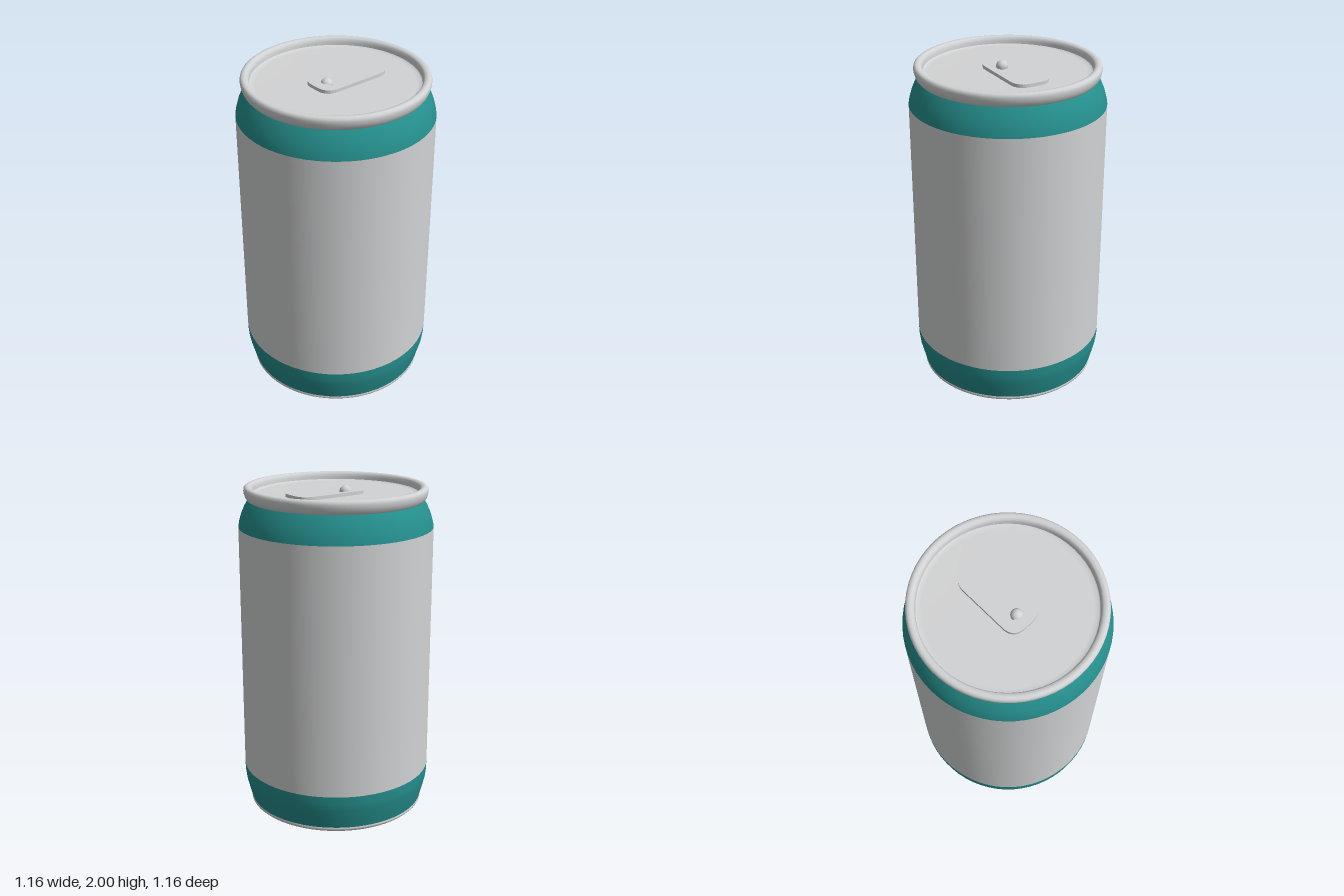
import * as THREE from 'three';

const SEGMENTS = 64;
const aluminium = new THREE.MeshStandardMaterial({ name: 'aluminium', color: 0xd2d3d4 });
const teal = new THREE.MeshStandardMaterial({ name: 'teal', color: 0x25908e });

// Turned part from [radius, height] pairs, listed bottom to top on the outside
function turned(name, material, profile) {
  const points = profile.map(([r, y]) => new THREE.Vector2(r, y));
  const mesh = new THREE.Mesh(new THREE.LatheGeometry(points, SEGMENTS), material);
  mesh.name = name;
  return mesh;
}

// Rounded rectangle between z0 and z1, with separate half-widths at each end
function roundedOutline(target, z0, z1, w0, w1, r) {
  target.moveTo(-w0 + r, -z0);
  target.lineTo(w0 - r, -z0);
  target.quadraticCurveTo(w0, -z0, w0, -z0 - r);
  target.lineTo(w1, -z1 + r);
  target.quadraticCurveTo(w1, -z1, w1 - r, -z1);
  target.lineTo(-w1 + r, -z1);
  target.quadraticCurveTo(-w1, -z1, -w1, -z1 + r);
  target.lineTo(-w0, -z0 - r);
  target.quadraticCurveTo(-w0, -z0, -w0 + r, -z0);
  return target;
}

function createPullTab() {
  const shape = roundedOutline(new THREE.Shape(), -0.312, 0.157, 0.116, 0.11, 0.085);
  shape.holes.push(
    roundedOutline(new THREE.Path(), -0.262, -0.095, 0.056, 0.054, 0.05),
    roundedOutline(new THREE.Path(), -0.03, 0.083, 0.077, 0.077, 0.05),
  );
  const geometry = new THREE.ExtrudeGeometry(shape, { depth: 0.02, bevelEnabled: false, curveSegments: 8 });
  geometry.rotateX(-Math.PI / 2);
  const tab = new THREE.Mesh(geometry, aluminium);
  tab.name = 'pullTab';
  tab.position.y = 1.948;
  return tab;
}

export function createModel() {
  const can = new THREE.Group();
  can.name = 'drinkCan';

  // Domed underside and standing ring
  can.add(turned('baseDome', teal, [[0, 0.05], [0.2, 0.044], [0.38, 0.027], [0.5, 0.006]]));
  can.add(turned('baseRing', aluminium, [
    [0.495, 0.012], [0.502, 0.004], [0.515, 0], [0.53, 0.002], [0.541, 0.012], [0.543, 0.022], [0.54, 0.03],
  ]));

  // Side wall in three colour bands
  can.add(turned('lowerBand', teal, [[0.54, 0.028], [0.557, 0.09], [0.573, 0.155], [0.579, 0.2], [0.58, 0.25]]));
  can.add(turned('bodyWall', aluminium, [[0.58, 0.25], [0.58, 1.76]]));
  can.add(turned('neckBand', teal, [
    [0.58, 1.76], [0.575, 1.79], [0.562, 1.835], [0.54, 1.885], [0.517, 1.922],
  ]));

  // Rolled rim running down to the sunken lid
  can.add(turned('rim', aluminium, [
    [0.512, 1.918], [0.523, 1.92], [0.535, 1.935], [0.542, 1.955], [0.545, 1.975], [0.542, 1.99],
    [0.532, 1.998], [0.52, 2], [0.506, 1.997], [0.497, 1.988], [0.493, 1.972], [0.492, 1.95],
  ]));
  can.add(turned('lid', aluminium, [[0.493, 1.955], [0.485, 1.949], [0.46, 1.946], [0, 1.944]]));

  // Opening tab and its rivet
  can.add(createPullTab());
  const rivet = new THREE.Mesh(new THREE.SphereGeometry(0.035, 24, 16), aluminium);
  rivet.name = 'rivet';
  rivet.position.set(0, 1.955, 0.068);
  can.add(rivet);

  return can;
}
